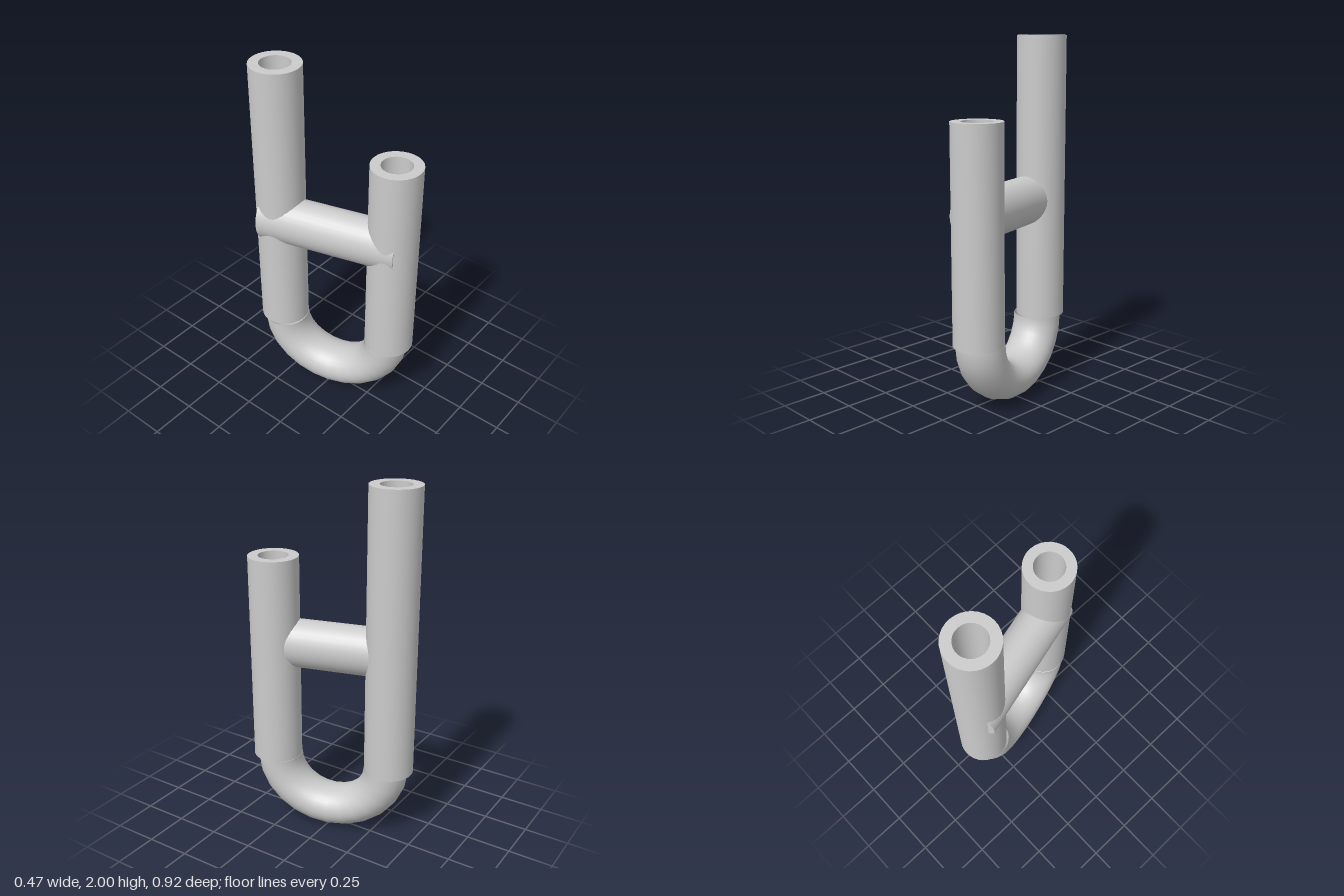
import * as THREE from 'three';
import { toCreasedNormals } from 'three/addons/utils/BufferGeometryUtils.js';

const SIDES = 32;
const TURN = THREE.MathUtils.degToRad(14.9);

export function createModel() {
  const group = new THREE.Group();
  const material = new THREE.MeshStandardMaterial({ color: 0xcccccc, side: THREE.DoubleSide });

  function add(name, geometry, x, y, z, turn = 0) {
    const mesh = new THREE.Mesh(geometry, material);
    mesh.name = name;
    mesh.position.set(x, y, z);
    mesh.rotation.y = turn;
    group.add(mesh);
  }

  // Thick-walled upright pipe, standing on its own origin
  function pipe(height, outer = 0.138, inner = 0.083) {
    const profile = [
      [outer, 0], [outer, height], [inner, height], [inner, 0], [outer, 0],
    ].map(([r, y]) => new THREE.Vector2(r, y));
    return toCreasedNormals(new THREE.LatheGeometry(profile, SIDES), Math.PI / 5);
  }

  // Two uprights of different height
  add('tallPipe', pipe(1.6), -0.067, 0.4, -0.322);
  add('shortPipe', pipe(1.18), 0.095, 0.4, 0.322);

  // U-bend joining the pipes at the bottom, slightly flattened
  const bend = new THREE.TorusGeometry(0.316, 0.125, SIDES, 12, Math.PI);
  bend.scale(1, 0.907, 1.1).rotateZ(Math.PI).rotateY(Math.PI / 2);
  add('bottomBend', bend, 0.01, 0.4, 0.002, TURN);

  // Oval crossbar whose ends run through the pipes
  const bar = new THREE.CylinderGeometry(0.137, 0.137, 0.797, SIDES);
  bar.rotateX(Math.PI / 2).scale(0.895, 1, 1);
  add('crossbar', bar, -0.012, 1.088, -0.012, TURN);

  return group;
}
